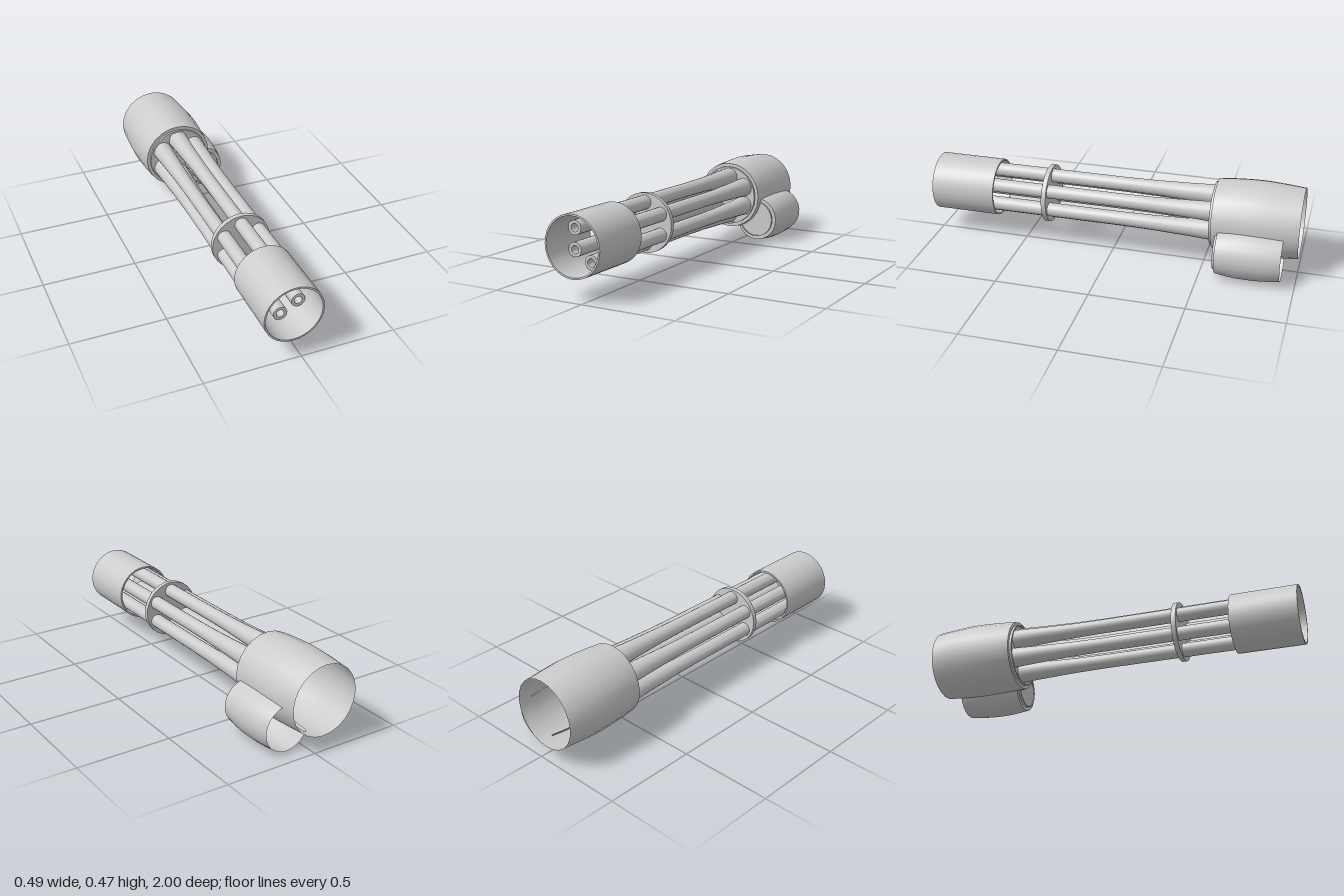
import * as THREE from 'three';
import { toCreasedNormals } from 'three/addons/utils/BufferGeometryUtils.js';

const material = new THREE.MeshStandardMaterial({ color: 0xcccccc, side: THREE.DoubleSide });
const rad = THREE.MathUtils.degToRad;

// Revolve [radius, z] pairs around the z axis, keeping hard edges sharp
function turned(name, profile, sides, start = 0, sweep = 360) {
  const points = profile.map(([r, z]) => new THREE.Vector2(r, z));
  const geometry = new THREE.LatheGeometry(points, sides, rad(start), rad(sweep));
  geometry.rotateX(Math.PI / 2);
  const mesh = new THREE.Mesh(toCreasedNormals(geometry, rad(35)), material);
  mesh.name = name;
  return mesh;
}

export function createModel() {
  const model = new THREE.Group();
  model.name = 'rotaryBarrelAssembly';

  const main = new THREE.Group();
  main.name = 'mainAssembly';
  main.position.set(-0.046, 0.267, 0);
  model.add(main);

  // Bulged rear housing, open at the back, with a raised collar and front plate
  main.add(turned('housing', [
    [0.186, -1], [0.194, -0.9], [0.199, -0.82], [0.2, -0.77], [0.198, -0.7],
    [0.193, -0.62], [0.186, -0.548], [0.168, -0.548], [0.168, -0.535],
    [0.16, -0.535], [0.16, -0.542], [0, -0.542],
  ], 24));

  // Six bored barrels, flaring towards the housing
  const barrelProfile = [
    [0.053, -0.542], [0.046, -0.4], [0.0395, -0.22], [0.037, -0.05], [0.037, 0.85],
    [0.021, 0.85], [0.021, 0.6], [0, 0.6],
  ];
  for (let i = 0; i < 6; i++) {
    const angle = Math.PI / 2 + i * Math.PI / 3;
    const barrel = turned('barrel', barrelProfile, 20);
    barrel.position.set(0.107 * Math.cos(angle), 0.107 * Math.sin(angle), 0);
    main.add(barrel);
  }

  // Solid spacer disc holding the barrels
  main.add(turned('spacerDisc', [[0, 0.35], [0.156, 0.35], [0.156, 0.375], [0, 0.375]], 32));

  // Open muzzle sleeve with a thin wall
  main.add(turned('muzzleSleeve', [
    [0.146, 0.65], [0.155, 0.65], [0.155, 1], [0.146, 1], [0.146, 0.65],
  ], 32));

  // Side pod: only the part of the shell outside the housing
  const pod = new THREE.Group();
  pod.name = 'sidePod';
  pod.position.set(0.112, 0.135, 0);
  pod.add(turned('podShell', [
    [0.122, -0.925], [0.13, -0.86], [0.134, -0.8], [0.135, -0.755], [0.134, -0.7],
    [0.13, -0.65], [0.122, -0.587], [0.102, -0.587], [0.102, -0.575],
    [0.098, -0.575], [0.098, -0.58],
  ], 16, 290, 240));

  // Flat pod front, cut off along the housing side
  const disc = new THREE.Shape();
  disc.absarc(0, 0, 0.098, rad(200), rad(440), false);
  const podFront = new THREE.Mesh(new THREE.ShapeGeometry(disc, 16), material);
  podFront.name = 'podFront';
  podFront.position.z = -0.58;
  pod.add(podFront);
  model.add(pod);

  return model;
}
